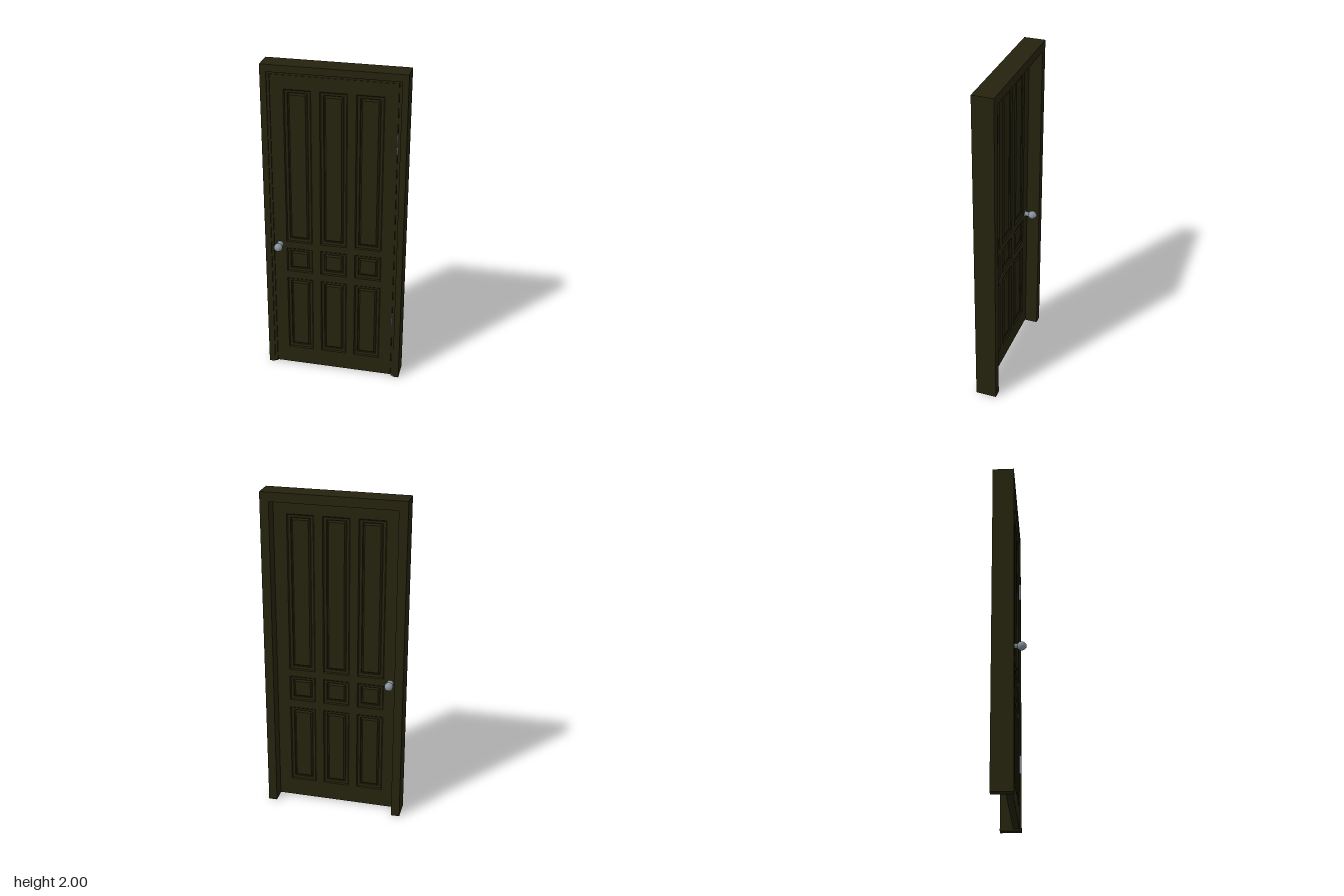
import * as THREE from 'three';

const wood = new THREE.MeshStandardMaterial({ color: 0x25230e });
wood.name = 'dark olive wood';
const metal = new THREE.MeshStandardMaterial({ color: 0x87929b });
metal.name = 'grey metal';

const FRONT = 0.02, BACK = -0.018, MID = (FRONT + BACK) / 2;
const COLUMNS = [[-0.29, -0.13], [-0.08, 0.08], [0.13, 0.29]];
const ROWS = [[0.125, 0.635], [0.685, 0.845], [0.89, 1.86]];
// Panel moulding: [inset, depth below the door face]
const PROFILE = [[0, 0], [0.006, 0.007], [0.021, 0.009], [0.025, 0.014], [0.034, 0.005]];

function mesh(name, geometry, material) {
  const m = new THREE.Mesh(geometry, material);
  m.name = name;
  return m;
}

// Inverted U of the door surround, between two depths
function surround(name, inner, top, z0, z1) {
  const pts = [[-0.421, 0], [-inner, 0], [-inner, top], [inner, top], [inner, 0], [0.421, 0], [0.421, 2], [-0.421, 2]];
  const shape = new THREE.Shape(pts.map(p => new THREE.Vector2(p[0], p[1])));
  const g = new THREE.ExtrudeGeometry(shape, { depth: z1 - z0, bevelEnabled: false });
  g.translate(0, 0, z0);
  return mesh(name, g, wood);
}

function rectangle(path, x0, y0, x1, y1) {
  path.moveTo(x0, y0);
  path.lineTo(x1, y0);
  path.lineTo(x1, y1);
  path.lineTo(x0, y1);
  path.closePath();
  return path;
}

// Nested rectangles joined into a moulded, raised panel
function panelGeometry(w, h) {
  const pos = [];
  const ring = ([inset, depth]) => [[-1, -1], [1, -1], [1, 1], [-1, 1]]
    .map(([sx, sy]) => [sx * (w / 2 - inset), sy * (h / 2 - inset), -depth]);
  const quad = (a, b, c, d) => pos.push(...a, ...b, ...c, ...a, ...c, ...d);
  const rings = PROFILE.map(ring);
  for (let i = 0; i < rings.length - 1; i++) {
    for (let k = 0; k < 4; k++) {
      const n = (k + 1) % 4;
      quad(rings[i][k], rings[i][n], rings[i + 1][n], rings[i + 1][k]);
    }
  }
  quad(...rings[rings.length - 1]);
  const g = new THREE.BufferGeometry();
  g.setAttribute('position', new THREE.Float32BufferAttribute(pos, 3));
  g.computeVertexNormals();
  return g;
}

// Door knob turned about its stem, pointing along +z
function knobGeometry() {
  const pts = [[0, 0], [0.02, 0], [0.02, 0.003], [0.014, 0.004], [0.014, 0.026]];
  for (let i = 0; i <= 10; i++) {
    const a = -1.0 + i * 0.21;
    pts.push([0.026 * Math.cos(a), 0.048 + 0.026 * Math.sin(a)]);
  }
  pts.push([0.011, 0.075], [0, 0.075]);
  const g = new THREE.LatheGeometry(pts.map(p => new THREE.Vector2(p[0], p[1])), 20);
  g.rotateX(Math.PI / 2);
  return g;
}

export function createModel() {
  const model = new THREE.Group();
  model.name = 'panelledDoor';

  // Surround with a shallow step along the front edge
  model.add(surround('frame', 0.369, 1.945, -0.097, 0.022));
  model.add(surround('frameFrontEdge', 0.384, 1.957, 0.022, 0.03));

  // Door leaf with openings for the panels
  const door = new THREE.Group();
  door.name = 'door';
  const leaf = rectangle(new THREE.Shape(), -0.367, 0.009, 0.367, 1.943);
  for (const [x0, x1] of COLUMNS) {
    for (const [y0, y1] of ROWS) {
      leaf.holes.push(rectangle(new THREE.Path(), x0, y0, x1, y1));
      const g = panelGeometry(x1 - x0, y1 - y0);
      for (const side of [1, -1]) {
        const panel = mesh(side > 0 ? 'frontPanel' : 'backPanel', g, wood);
        panel.position.set((x0 + x1) / 2, (y0 + y1) / 2, side > 0 ? FRONT : BACK);
        if (side < 0) panel.rotation.y = Math.PI;
        door.add(panel);
      }
    }
  }
  const leafGeometry = new THREE.ExtrudeGeometry(leaf, { depth: FRONT - BACK, bevelEnabled: false });
  leafGeometry.translate(0, 0, BACK);
  door.add(mesh('doorLeaf', leafGeometry, wood));
  model.add(door);

  // Knobs on both faces
  const knob = knobGeometry();
  for (const side of [1, -1]) {
    const k = mesh(side > 0 ? 'frontKnob' : 'backKnob', knob, metal);
    k.position.set(-0.33, 0.868, MID + side * (FRONT - MID));
    if (side < 0) k.rotation.y = Math.PI;
    model.add(k);
  }

  // Hinges
  for (const y of [0.405, 1.585]) {
    const hinge = mesh('hinge', new THREE.BoxGeometry(0.006, 0.115, 0.02), metal);
    hinge.position.set(0.368, y, 0.023);
    model.add(hinge);
  }
  return model;
}
